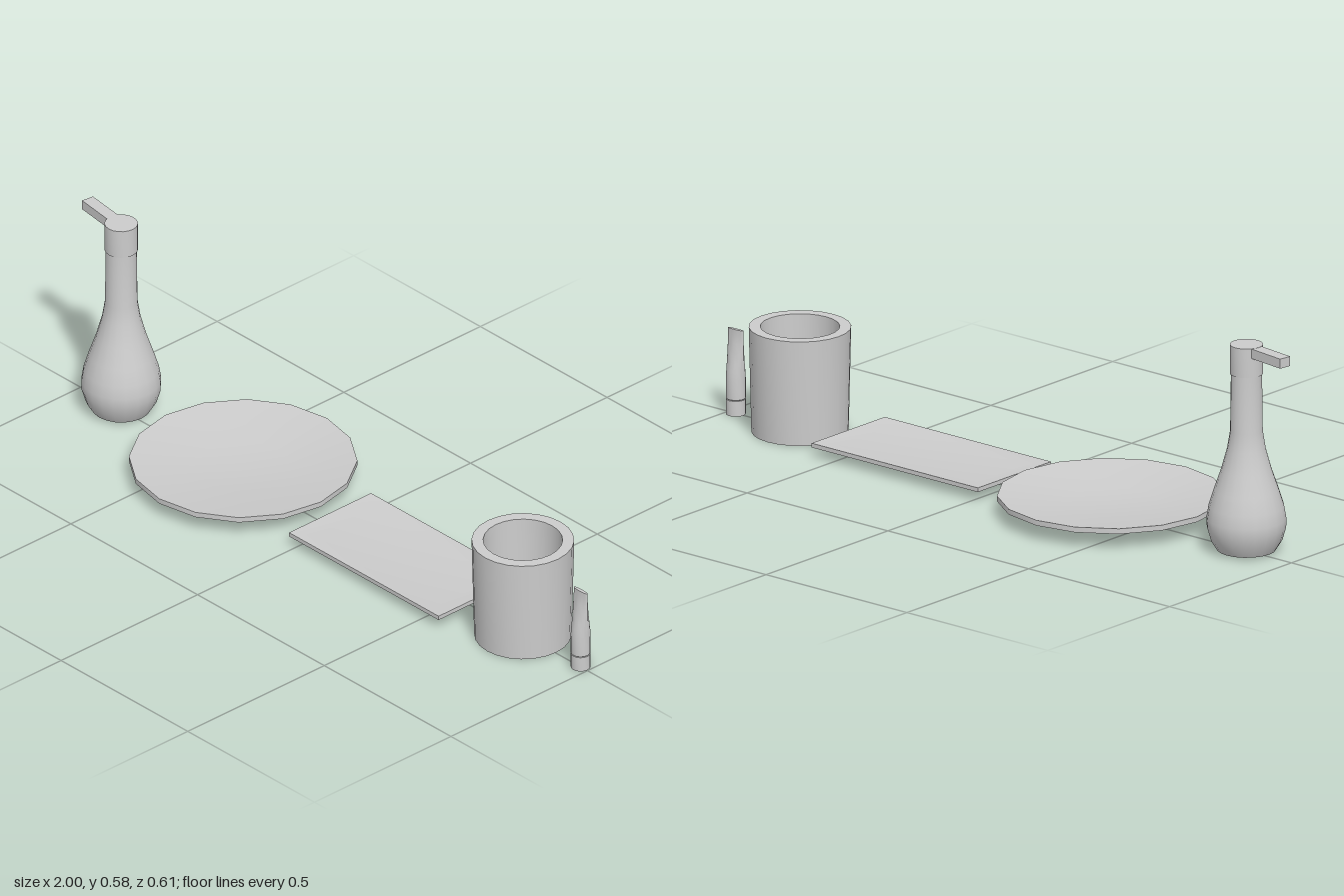
import * as THREE from 'three';
import { toCreasedNormals } from 'three/addons/utils/BufferGeometryUtils.js';

const material = new THREE.MeshStandardMaterial({ color: 0xcccccc });
const Z = -0.002; // shared centre line of the row

function addPart(parent, name, geometry) {
  const mesh = new THREE.Mesh(toCreasedNormals(geometry, 0.6), material);
  mesh.name = name;
  parent.add(mesh);
  return mesh;
}

// Profile of [radius, height], listed from the bottom up the outside
function lathe(profile, sides, start = 0) {
  return new THREE.LatheGeometry(profile.map(([r, y]) => new THREE.Vector2(r, y)), sides, start);
}

function reshape(geometry, rule) {
  const p = geometry.attributes.position;
  const v = new THREE.Vector3();
  for (let i = 0; i < p.count; i++) {
    rule(v.fromBufferAttribute(p, i));
    p.setXYZ(i, v.x, v.y, v.z);
  }
  return geometry;
}

function group(name, x, z = Z) {
  const g = new THREE.Group();
  g.name = name;
  g.position.set(x, 0, z);
  return g;
}

// Soap bottle with pump head and angled spout
function soapDispenser() {
  const g = group('soapDispenser', -0.842);
  addPart(g, 'bottle', lathe([
    [0, 0.007], [0.08, 0.007], [0.097, 0.035], [0.107, 0.07], [0.108, 0.095], [0.102, 0.13],
    [0.088, 0.175], [0.069, 0.23], [0.052, 0.292], [0.044, 0.342], [0.042, 0.505], [0, 0.505],
  ], 20));
  addPart(g, 'pumpHead', lathe([[0, 0.503], [0.045, 0.503], [0.045, 0.585], [0, 0.585]], 20));
  const spout = addPart(g, 'spout', new THREE.BoxGeometry(0.157, 0.027, 0.036));
  const angle = 0.133;
  spout.position.set(-0.0785 * Math.cos(angle), 0.571, -0.0785 * Math.sin(angle));
  spout.rotation.y = -angle;
  return g;
}

// Shallow round dish
function plate() {
  const g = group('plate', -0.361);
  addPart(g, 'dish', lathe([
    [0, 0.011], [0.125, 0.011], [0.307, 0.045], [0.307, 0.06], [0.13, 0.035], [0, 0.032],
  ], 16));
  return g;
}

// Rectangular tray: a four-sided profile stretched so the inset is even on all sides
function tray() {
  const g = group('tray', 0.275, -0.004);
  const profile = [[0, 0.016], [0.95, 0.016], [1, 0.028], [1, 0.04], [0.95, 0.033], [0, 0.031]];
  addPart(g, 'trayBody', reshape(lathe(profile, 4, Math.PI / 4), (v) => {
    const r = Math.hypot(v.x, v.z);
    if (r < 0.01) return;
    v.x = Math.sign(v.x) * (r - 1 + 0.295);
    v.z = Math.sign(v.z) * (r - 1 + 0.15);
  }));
  return g;
}

// Thick-walled tumbler
function cup() {
  const g = group('cup', 0.743);
  addPart(g, 'cupBody', lathe([
    [0, 0], [0.131, 0], [0.138, 0.296], [0.107, 0.296], [0.1, 0.03], [0, 0.03],
  ], 24));
  return g;
}

// Paste tube standing on its cap, pressed flat towards the crimped end
function pasteTube() {
  const g = group('pasteTube', 0.971);
  addPart(g, 'tubeCap', lathe([[0, 0], [0.027, 0], [0.027, 0.043], [0, 0.043]], 16));
  const depth = [[0.043, 1], [0.046, 1], [0.1, 1], [0.125, 0.88], [0.15, 0.7], [0.175, 0.52],
    [0.2, 0.35], [0.222, 0.2], [0.239, 0.19]];
  const radius = (y) => (y < 0.045 ? 0.024 : 0.027);
  const profile = [[0, 0.043], ...depth.map(([y]) => [radius(y), y]), [0, 0.239]];
  addPart(g, 'tubeBody', reshape(lathe(profile, 16), (v) => {
    const row = depth.find(([y]) => Math.abs(y - v.y) < 1e-4);
    v.z *= row[1];
  }));
  return g;
}

export function createModel() {
  const model = new THREE.Group();
  model.name = 'bathroomSet';
  model.add(soapDispenser(), plate(), tray(), cup(), pasteTube());
  return model;
}
